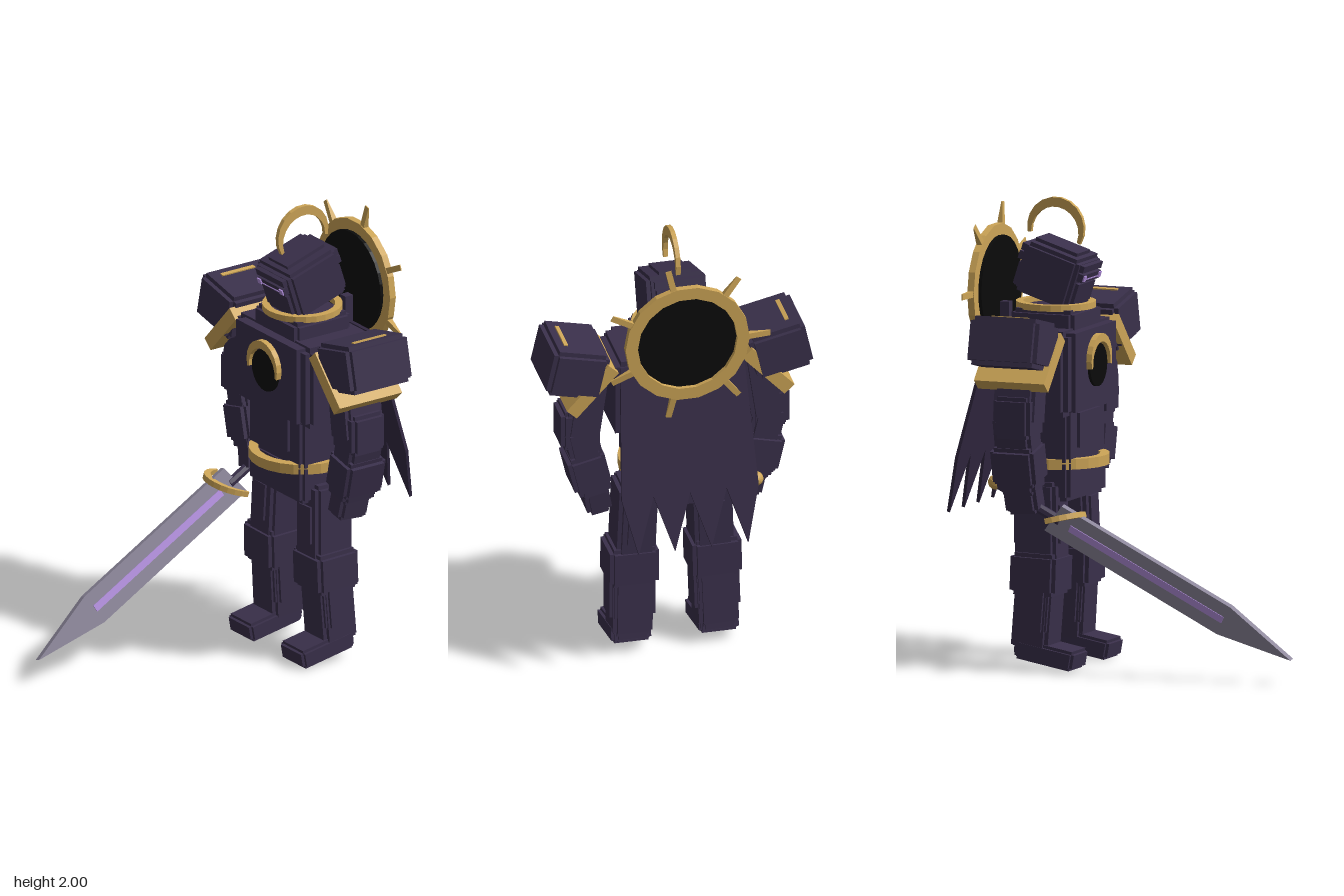
import * as THREE from 'three';

const mat = (name, color) => {
  const m = new THREE.MeshStandardMaterial({ color, flatShading: true });
  m.name = name;
  return m;
};

export function createModel() {
  const root = new THREE.Group();
  root.name = 'armouredKnight';
  const armour = mat('dark violet armour', 0x3a304b);
  const cloth = mat('dark cloth', 0x342a44);
  const gold = mat('gold', 0xcda557);
  const black = mat('black', 0x0b0b0b);
  const steel = mat('steel', 0x8d879b);
  const glow = mat('pale purple', 0xb692e2);
  const V = (x, y, z) => new THREE.Vector3(x, y, z);

  function add(name, geo, material, pos = [0, 0, 0], rot = [0, 0, 0], parent = root) {
    const m = new THREE.Mesh(geo, material);
    m.name = name;
    m.position.set(...pos);
    m.rotation.set(...rot);
    parent.add(m);
    return m;
  }
  const box = (w, h, d) => new THREE.BoxGeometry(w, h, d);

  // Block with stepped edges: three crossing boxes
  function plated(name, w, h, d, pos, rot = [0, 0, 0], c = 0.018) {
    const g = new THREE.Group();
    g.name = name;
    g.position.set(...pos);
    g.rotation.set(...rot);
    const e = 2 * c;
    add(name + 'Sides', box(w, h - e, d - e), armour, undefined, undefined, g);
    add(name + 'Ends', box(w - e, h, d - e), armour, undefined, undefined, g);
    add(name + 'Faces', box(w - e, h - e, d), armour, undefined, undefined, g);
    root.add(g);
    return g;
  }

  // Stepped block stretched between two joints
  function limb(name, a, b, w, d) {
    const dir = b.clone().sub(a);
    const mid = a.clone().add(b).multiplyScalar(0.5);
    const g = plated(name, w, dir.length(), d, mid.toArray());
    g.quaternion.setFromUnitVectors(V(0, -1, 0), dir.normalize());
    return g;
  }

  // Flat ring, centred on its own depth
  function ring(R, r, depth, seg) {
    const s = new THREE.Shape().absarc(0, 0, R, 0, Math.PI * 2, false);
    s.holes.push(new THREE.Path().absarc(0, 0, r, 0, Math.PI * 2, true));
    return new THREE.ExtrudeGeometry(s, { depth, bevelEnabled: false, curveSegments: seg })
      .translate(0, 0, -depth / 2);
  }

  // Crescent arc that thins toward both ends (angles in degrees)
  function crescent(R, t, from, to, depth) {
    const outer = [], inner = [], n = 12;
    for (let i = 0; i <= n; i++) {
      const a = THREE.MathUtils.degToRad(from + (to - from) * i / n);
      const k = t / 2 * (0.35 + 0.65 * Math.sin(Math.PI * i / n));
      outer.push(new THREE.Vector2(Math.cos(a) * (R + k), Math.sin(a) * (R + k)));
      inner.unshift(new THREE.Vector2(Math.cos(a) * (R - k), Math.sin(a) * (R - k)));
    }
    return new THREE.ExtrudeGeometry(new THREE.Shape([...outer, ...inner]), { depth, bevelEnabled: false })
      .translate(0, 0, -depth / 2);
  }

  // Torso
  plated('chest', 0.56, 0.37, 0.33, [0, 1.275, -0.4], undefined, 0.025);
  add('chestPlate', box(0.44, 0.34, 0.37), armour, [0, 1.28, -0.4]);
  plated('belly', 0.4, 0.26, 0.29, [0, 1.0, -0.4]);
  add('bellyPlate', box(0.23, 0.15, 0.32), armour, [0, 1.02, -0.4]);
  plated('hips', 0.4, 0.18, 0.29, [0, 0.81, -0.4]);
  add('belt', ring(0.23, 0.19, 0.045, 12), gold, [0, 0.88, -0.4], [Math.PI / 2, 0, 0]);
  add('chestDisc', new THREE.CylinderGeometry(0.093, 0.093, 0.012, 24), black, [0, 1.29, -0.208], [Math.PI / 2, 0, 0]);
  add('chestCrescent', crescent(0.103, 0.036, -12, 192, 0.025), gold, [0, 1.305, -0.2]);

  // Neck and head
  plated('neck', 0.32, 0.1, 0.29, [0, 1.485, -0.4]);
  add('collarRing', ring(0.172, 0.14, 0.027, 12), gold, [0, 1.543, -0.4], [Math.PI / 2, 0, 0]);
  const head = plated('head', 0.26, 0.22, 0.26, [0, 1.68, -0.395], [0.31, 0, 0]);
  add('helmetCap', box(0.14, 0.25, 0.2), armour, [0, 0, -0.01], undefined, head);
  add('brow', box(0.2, 0.03, 0.3), armour, [0, 0.075, 0], undefined, head);
  add('visor', box(0.19, 0.035, 0.31), armour, [0, 0.035, 0], undefined, head);
  add('faceGuard', box(0.18, 0.1, 0.29), armour, [0, -0.045, 0], undefined, head);
  for (const s of [-1, 1])
    add('eye', box(0.025, 0.025, 0.008), glow, [s * 0.08, 0.037, 0.157], undefined, head);
  add('eyeSlit', box(0.135, 0.005, 0.005), glow, [0, 0.03, 0.155], undefined, head);
  add('helmetCrest', crescent(0.12, 0.042, -27, 187, 0.02), gold, [0, 1.86, -0.4], [0, -Math.PI / 2, 0]);

  // Halo behind the head
  const halo = new THREE.Group();
  halo.name = 'halo';
  halo.position.set(0, 1.6, -0.68);
  root.add(halo);
  add('haloRing', ring(0.272, 0.218, 0.03, 9), gold, undefined, undefined, halo);
  add('haloDisc', new THREE.CylinderGeometry(0.222, 0.222, 0.025, 28), black, [0, 0, 0.017], [Math.PI / 2, 0, 0], halo);
  add('haloMount', box(0.04, 0.17, 0.05), armour, [0, -0.145, 0.045], undefined, halo);
  for (let i = 0; i < 7; i++) {
    // wedge spikes, narrowing in depth toward the tip
    const geo = box(0.026, 0.1, 0.026);
    const p = geo.attributes.position;
    for (let j = 0; j < p.count; j++) if (p.getY(j) > 0) p.setZ(j, p.getZ(j) * 0.15);
    geo.translate(0, 0.315, 0);
    add('haloSpike', geo, gold, undefined, [0, 0, Math.PI / 2 - i * Math.PI * 2 / 7], halo);
  }

  // Ragged cape sloping backward
  const hem = [[0.3, -0.58]];
  for (let i = 0; i < 4; i++) {
    hem.push([0.24 - 0.16 * i, -0.83]);
    hem.push(i < 3 ? [0.16 - 0.16 * i, -0.58] : [-0.3, -0.58]);
  }
  const capeShape = new THREE.Shape([[-0.27, 0], ...hem.reverse(), [0.27, 0]].map(q => new THREE.Vector2(...q)));
  add('cape', new THREE.ExtrudeGeometry(capeShape, { depth: 0.014, bevelEnabled: false }), cloth,
    [0, 1.46, -0.594], [0.254, 0, 0]);

  for (const s of [-1, 1]) {
    // Shoulders
    plated('pauldron', 0.25, 0.21, 0.32, [s * 0.445, 1.425, -0.41], [0, 0, s * 0.22], 0.02);
    add('pauldronTrim', box(0.27, 0.06, 0.325), gold, [s * 0.385, 1.345, -0.405], [0, 0, -s * 0.82]);
    add('pauldronStrip', box(0.018, 0.012, 0.17), gold, [s * 0.484, 1.541, -0.405], [0, 0, s * 0.22]);

    // Arms
    limb('upperArm', V(s * 0.36, 1.42, -0.4), V(s * 0.41, 1.07, -0.4), 0.15, 0.19);
    limb('elbow', V(s * 0.415, 1.2, -0.4), V(s * 0.415, 1.02, -0.4), 0.17, 0.17);
    limb('forearm', V(s * 0.42, 1.12, -0.41), V(s * 0.345, 0.78, -0.41), 0.14, 0.17);
    limb('cuff', V(s * 0.4, 0.99, -0.41), V(s * 0.36, 0.82, -0.41), 0.165, 0.2);
    limb('hand', V(s * 0.35, 0.82, -0.41), V(s * 0.325, 0.69, -0.4), 0.11, 0.15);

    // Legs
    limb('thigh', V(s * 0.16, 0.8, -0.4), V(s * 0.175, 0.4, -0.39), 0.17, 0.19);
    limb('thighPlate', V(s * 0.165, 0.72, -0.4), V(s * 0.175, 0.52, -0.395), 0.12, 0.215);
    limb('knee', V(s * 0.18, 0.5, -0.39), V(s * 0.183, 0.32, -0.395), 0.215, 0.21);
    limb('shin', V(s * 0.18, 0.45, -0.39), V(s * 0.19, 0.08, -0.415), 0.175, 0.17);
    limb('shinPlate', V(s * 0.183, 0.36, -0.395), V(s * 0.187, 0.15, -0.41), 0.2, 0.15);
    plated('foot', 0.175, 0.085, 0.27, [s * 0.192, 0.067, -0.342], [0.18, 0, 0], 0.013);
    plated('ankle', 0.16, 0.11, 0.15, [s * 0.19, 0.1, -0.41], [0.1, 0, 0]);
  }

  // Sword held in the right hand: length on local y, width on x
  const sword = new THREE.Group();
  sword.name = 'sword';
  const along = V(0.063, -0.545, 1.04).normalize();
  const across = V(-0.25, 0.86, 0.45);
  across.addScaledVector(along, -across.dot(along)).normalize();
  const normal = across.clone().cross(along);
  sword.quaternion.setFromRotationMatrix(new THREE.Matrix4().makeBasis(across, along, normal));
  sword.position.set(-0.32, 0.655, -0.24);
  root.add(sword);
  const blade = new THREE.Shape([[-0.074, -0.05], [-0.076, 0.83], [0, 1.176], [0.074, 0.84], [0.074, -0.02]]
    .map(q => new THREE.Vector2(...q)));
  add('blade', new THREE.ExtrudeGeometry(blade, { depth: 0.026, bevelEnabled: false }).translate(0, 0, -0.013),
    steel, undefined, undefined, sword);
  for (const s of [-1, 1])
    add('bladeStripe', box(0.032, 0.78, 0.004), glow, [0, 0.44, s * 0.014], undefined, sword);
  add('grip', new THREE.CylinderGeometry(0.022, 0.022, 0.33, 8), armour, [0, -0.17, 0], undefined, sword);
  add('pommel', new THREE.SphereGeometry(0.032, 12, 8), gold, [0, -0.335, 0], undefined, sword);
  add('crossGuard', crescent(0.122, 0.034, 5, 175, 0.024), gold, [-0.32, 0.655, -0.27], [1.3, -0.1, 0]);

  return root;
}
